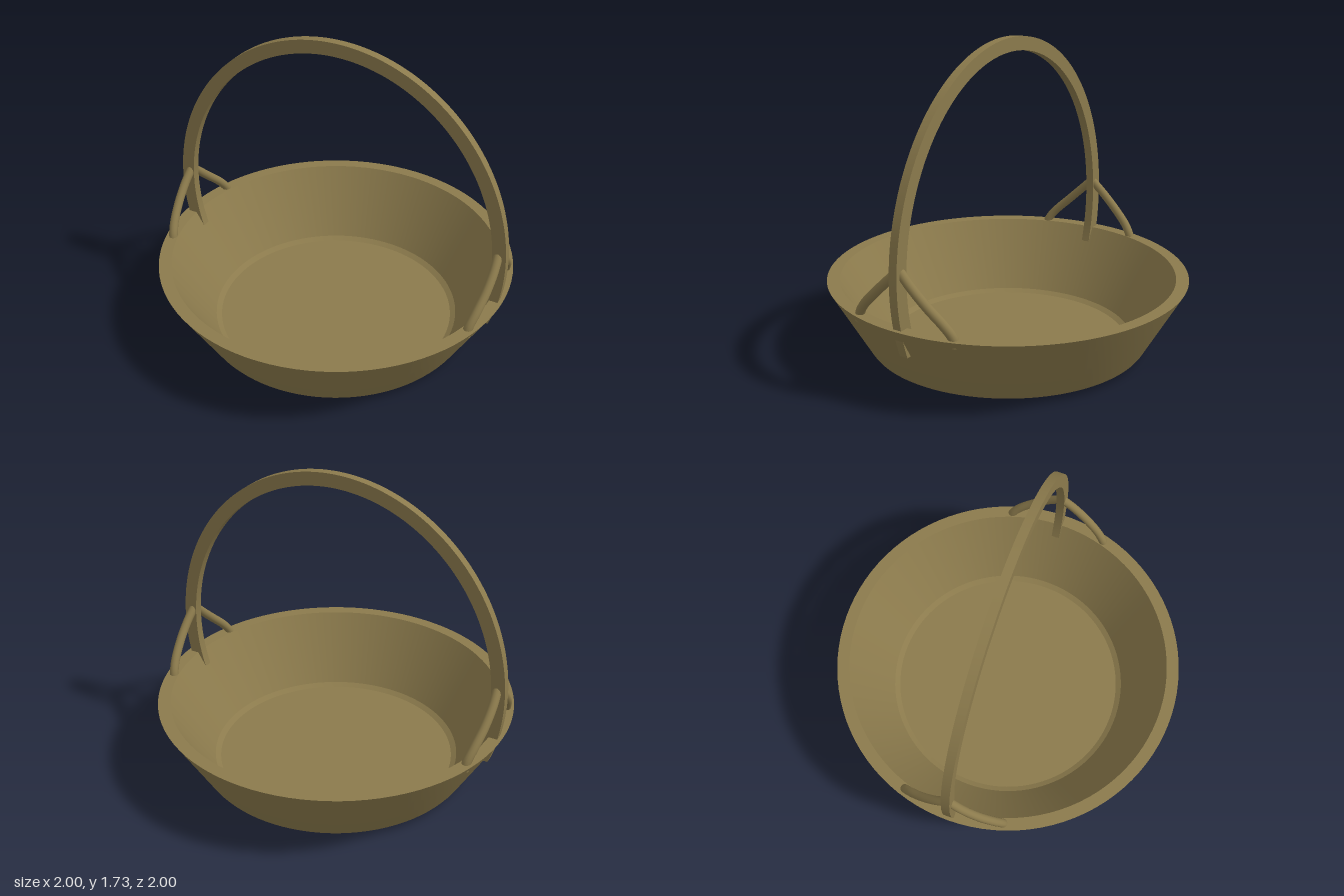
import * as THREE from 'three';
import { toCreasedNormals } from 'three/addons/utils/BufferGeometryUtils.js';

export function createModel() {
  const model = new THREE.Group();
  model.name = 'basket';
  const wicker = new THREE.MeshStandardMaterial({ color: 0x8b7a4c });
  wicker.name = 'wicker brown';

  const add = (name, geometry, parent = model) => {
    const mesh = new THREE.Mesh(geometry, wicker);
    mesh.name = name;
    parent.add(mesh);
    return mesh;
  };

  // Bowl: underside, outer wall, flat rim, inner wall and floor in one profile
  const profile = [
    [0, 0], [0.65, 0.014], [0.74, 0.024], [0.775, 0.036], [0.787, 0.052],
    [0.996, 0.418], [1, 0.425], [0.93, 0.425],
    [0.7, 0.04], [0.67, 0.022], [0, 0.02],
  ].map(([r, y]) => new THREE.Vector2(r, y));
  add('bowl', toCreasedNormals(new THREE.LatheGeometry(profile, 96), 0.45));

  // Handle: flat elliptical hoop whose ends pass through the bowl wall
  const centreY = 0.65, endY = 0.265, depth = 0.048;
  const outer = { a: 1, b: 1.08 }, inner = { a: 0.925, b: 1.005 };
  const dip = ({ b }) => Math.asin((centreY - endY) / b);
  const hoop = new THREE.Shape();
  hoop.absellipse(0, centreY, outer.a, outer.b, -dip(outer), Math.PI + dip(outer), false);
  hoop.absellipse(0, centreY, inner.a, inner.b, Math.PI + dip(inner), -dip(inner), true);
  const hoopGeometry = new THREE.ExtrudeGeometry(hoop, { depth, bevelEnabled: false, curveSegments: 64 });
  hoopGeometry.translate(0, 0, -depth / 2);
  add('handle', toCreasedNormals(hoopGeometry, 0.5));

  // Braces: two bent rods each side, from the handle down to the rim
  for (const side of [1, -1]) {
    const pair = new THREE.Group();
    pair.name = side > 0 ? 'leftBraces' : 'rightBraces';
    model.add(pair);
    for (const end of [1, -1]) {
      const path = new THREE.CatmullRomCurve3([
        [0.95, 0.725, 0], [0.955, 0.655, 0.075], [0.948, 0.57, 0.165],
        [0.93, 0.49, 0.247], [0.915, 0.435, 0.287], [0.907, 0.385, 0.303],
      ].map(([x, y, z]) => new THREE.Vector3(side * x, y, end * z)));
      add(end > 0 ? 'frontBrace' : 'backBrace', new THREE.TubeGeometry(path, 32, 0.025, 14), pair);
    }
  }
  return model;
}
